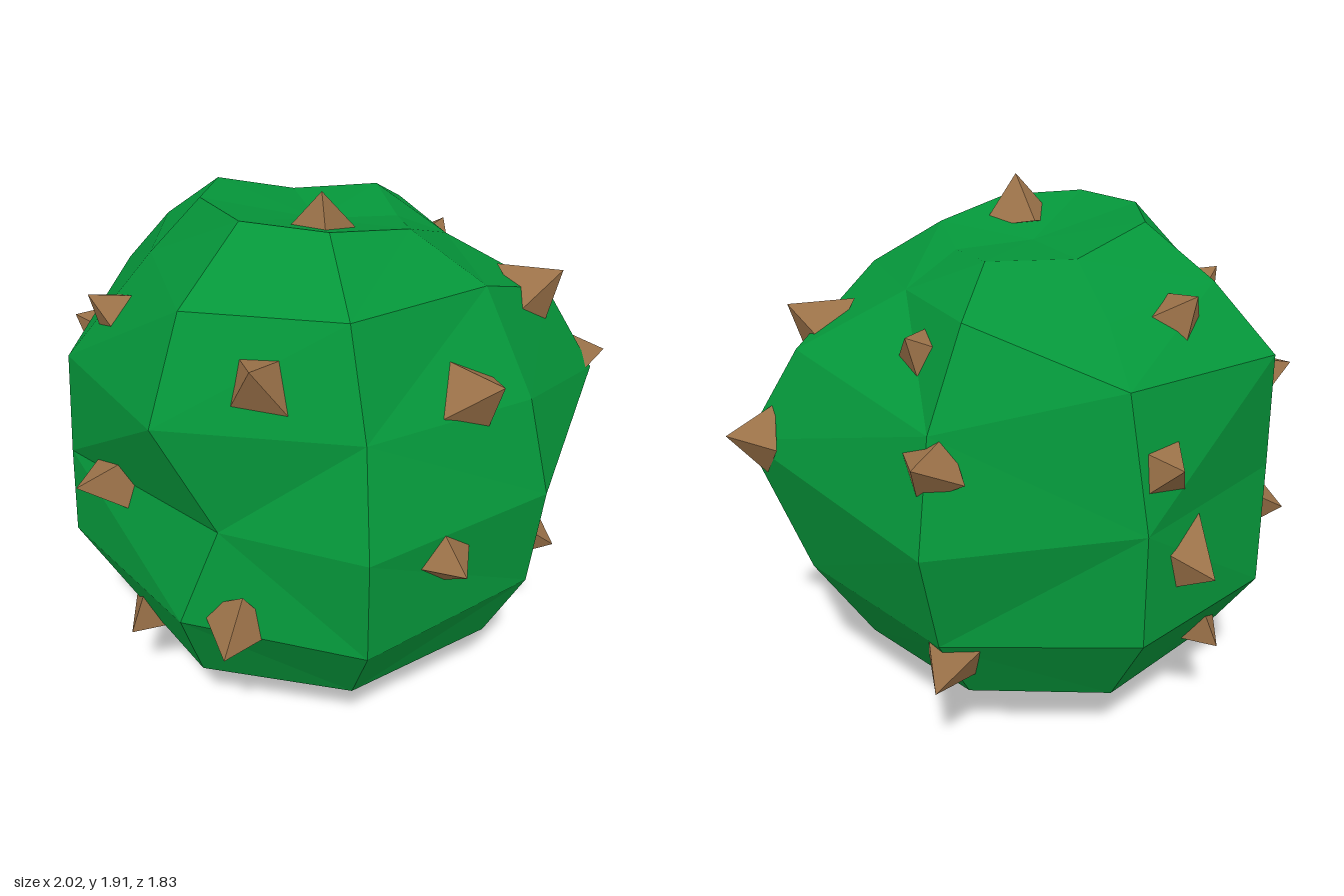
import * as THREE from 'three';

const CENTRE = new THREE.Vector3(-0.12, 0.92, 0);
const RADIUS = 0.92;
const ROWS = 8;
const COLS = 8; // column 0 faces +z, column 2 faces +x

// Vertices pushed or pulled off the regular ball, keyed by row (from below) and column
const LUMPS = {
  '1,0': [-0.12, 0.05, 0.38], '1,2': [0.26, 0.11, 0], '1,3': [0.13, 0.17, -0.28],
  '1,4': [-0.12, 0.06, -0.36], '1,6': [-0.5, 0.05, 0],
  '2,0': [-0.12, 0.26, 0.7], '2,1': [0.43, 0.26, 0.49], '2,2': [0.56, 0.27, 0],
  '2,3': [0.34, 0.27, -0.48], '2,4': [-0.12, 0.27, -0.67], '2,7': [-0.61, 0.27, 0.48],
  '3,0': [-0.12, 0.58, 0.91], '3,1': [0.52, 0.58, 0.63], '3,2': [0.77, 0.6, 0],
  '3,4': [-0.12, 0.6, -0.88], '3,6': [-1, 0.61, 0], '3,7': [-0.68, 0.61, 0.63],
  '4,0': [-0.12, 0.95, 0.92], '4,1': [0.55, 0.95, 0.66], '4,2': [0.95, 1.1, 0.08],
  '4,3': [0.56, 0.95, -0.68], '4,4': [-0.12, 1, -0.87], '4,5': [-0.77, 0.98, -0.52],
  '4,6': [-0.98, 0.94, 0], '4,7': [-0.54, 0.95, 0.64],
  '5,0': [-0.1, 1.29, 0.79], '5,1': [0.5, 1.27, 0.58], '5,2': [0.76, 1.42, 0.04],
  '5,3': [0.5, 1.33, -0.61], '5,4': [-0.08, 1.45, -0.78], '5,5': [-0.7, 1.43, -0.6],
  '5,6': [-0.95, 1.31, 0], '5,7': [-0.72, 1.32, 0.6],
  '6,0': [-0.12, 1.63, 0.66], '6,1': [0.39, 1.6, 0.4], '6,2': [0.4, 1.62, -0.07],
  '6,3': [0.35, 1.63, -0.5], '6,4': [-0.1, 1.6, -0.58], '6,5': [-0.55, 1.65, -0.43],
  '6,6': [-0.64, 1.63, -0.08], '6,7': [-0.6, 1.64, 0.48],
  '7,0': [-0.12, 1.81, 0.38], '7,1': [0.17, 1.76, 0.26], '7,2': [0.2, 1.72, 0],
  '7,3': [0.2, 1.75, -0.29], '7,4': [-0.1, 1.74, -0.33], '7,5': [-0.38, 1.82, -0.25],
  '7,6': [-0.47, 1.83, 0], '7,7': [-0.38, 1.83, 0.27],
  '8,0': [-0.08, 1.73, 0],
};

// Spikes: a point each one passes through (x, y, z), then its size
const SPIKES = [
  [-0.12, 1.86, 0.26, 1.05], [-0.41, 1.5, 0.68, 0.95], [0.3, 1.35, 0.65, 1.15],
  [0.63, 1.45, 0.15, 1.05], [0.95, 1.13, 0.03, 0.9], [0.19, 0.85, 0.9, 0.95],
  [-0.53, 0.6, 0.75, 0.95], [-0.88, 0.93, 0.22, 1.1], [-0.82, 0.34, 0.28, 0.9],
  [0.66, 0.57, 0.38, 0.9], [0.51, 1.58, -0.4, 0.8], [-0.78, 1.48, 0.05, 0.85],
  [-0.38, 1.65, -0.6, 0.85], [0.52, 1.24, -0.64, 0.85], [-0.2, 1.22, -0.88, 0.95],
  [-0.33, 0.83, -0.86, 1.1], [-0.88, 1.28, -0.36, 1], [-0.9, 0.73, -0.37, 1],
  [-0.51, 0.4, -0.62, 0.8], [0.51, 0.41, -0.64, 1],
];

function ballPoint(row, col) {
  if (row === 0 || row === ROWS) col = 0;
  const lump = LUMPS[`${row},${col % COLS}`];
  if (lump) return new THREE.Vector3(...lump);
  const tilt = Math.PI * (1 - row / ROWS);
  const turn = (col / COLS) * Math.PI * 2;
  return new THREE.Vector3().setFromSphericalCoords(RADIUS, tilt, turn).add(CENTRE);
}

// Faceted, dented ball built ring by ring, each panel split along its shorter diagonal
function makeBody(material) {
  const corners = [];
  for (let i = 0; i < ROWS; i++) {
    for (let j = 0; j < COLS; j++) {
      const a = ballPoint(i, j);
      const b = ballPoint(i, j + 1);
      const c = ballPoint(i + 1, j + 1);
      const d = ballPoint(i + 1, j);
      if (i === 0) corners.push(a, c, d);
      else if (i === ROWS - 1) corners.push(a, b, c);
      else if (a.distanceTo(c) < b.distanceTo(d)) corners.push(a, b, c, a, c, d);
      else corners.push(a, b, d, b, c, d);
    }
  }
  const geometry = new THREE.BufferGeometry().setFromPoints(corners);
  geometry.computeVertexNormals();
  const body = new THREE.Mesh(geometry, material);
  body.name = 'body';
  return body;
}

// Four-sided spike pointing away from the centre, its base sunk in the skin
function makeSpike([x, y, z, size], index, body, material) {
  const outward = new THREE.Vector3(x, y, z).sub(CENTRE).normalize();
  const start = CENTRE.clone().addScaledVector(outward, 3);
  const ray = new THREE.Raycaster(start, outward.clone().negate());
  const skin = ray.intersectObject(body)[0].point;

  const height = 0.17 * size;
  const geometry = new THREE.ConeGeometry(0.14 * size, height, 4);
  geometry.translate(0, height * 0.22, 0);
  const spike = new THREE.Mesh(geometry, material);
  spike.quaternion.setFromUnitVectors(new THREE.Vector3(0, 1, 0), outward);
  spike.rotateY(index * 0.4);
  spike.position.copy(skin);
  spike.name = `spike${index + 1}`;
  return spike;
}

export function createModel() {
  const green = new THREE.MeshStandardMaterial({ color: 0x05963a, flatShading: true });
  const brown = new THREE.MeshStandardMaterial({ color: 0x9a7148, flatShading: true });
  const model = new THREE.Group();
  model.name = 'spikyBall';
  const body = makeBody(green);
  model.add(body);

  const spikes = new THREE.Group();
  spikes.name = 'spikes';
  SPIKES.forEach((spec, index) => spikes.add(makeSpike(spec, index, body, brown)));
  model.add(spikes);
  return model;
}
